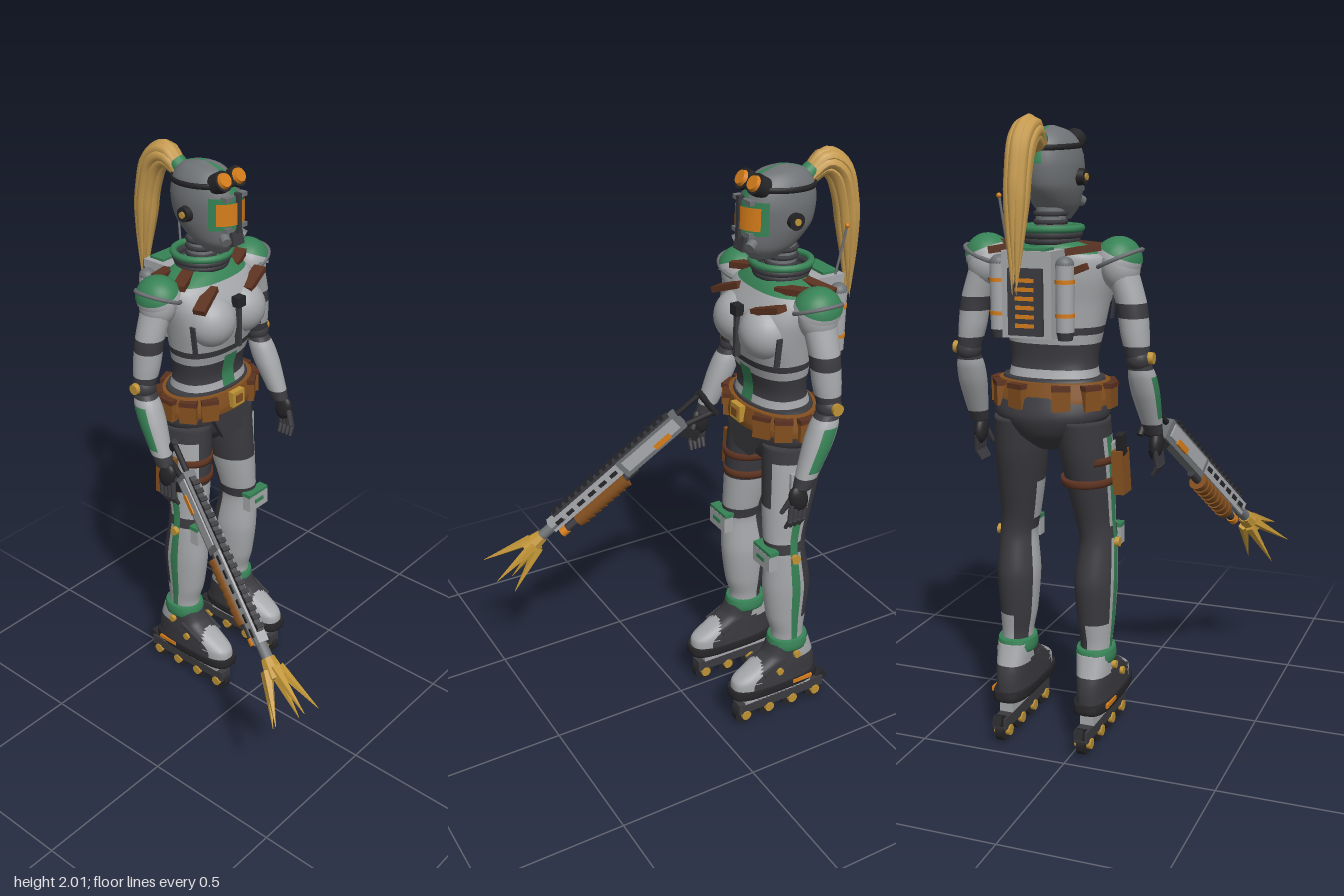
import * as THREE from 'three';

const mat = (name, color) => Object.assign(new THREE.MeshStandardMaterial({ color }), { name });
const M = {
  light: mat('light armour', 0xa6a8ab), dark: mat('dark suit', 0x3b3b40), grey: mat('grey metal', 0x6f7275),
  black: mat('black rubber', 0x252528), green: mat('green trim', 0x378256), strap: mat('strap leather', 0x5c3220),
  belt: mat('belt leather', 0x84501f), orange: mat('orange glass', 0xd67d1a), hair: mat('blonde hair', 0xc79c50),
  gold: mat('gold metal', 0xc09436),
};
const V = (x, y, z) => new THREE.Vector3(x, y, z);

function add(parent, name, geo, material, x = 0, y = 0, z = 0, rx = 0, ry = 0, rz = 0) {
  const m = new THREE.Mesh(geo, material);
  m.name = name; m.position.set(x, y, z); m.rotation.set(rx, ry, rz);
  parent.add(m);
  return m;
}
const box = (p, name, m, w, h, d, ...t) => add(p, name, new THREE.BoxGeometry(w, h, d), m, ...t);
const cyl = (p, name, m, r0, r1, h, n, ...t) => add(p, name, new THREE.CylinderGeometry(r1, r0, h, n), m, ...t);
const ball = (p, name, m, a, b, c, ...t) => {
  const o = add(p, name, new THREE.SphereGeometry(1, 24, 16), m, ...t);
  o.scale.set(a, b, c);
  return o;
};
// Tapered rod from point a to point b
function rod(p, name, m, a, b, r0, r1 = r0, n = 10) {
  const d = b.clone().sub(a);
  const o = cyl(p, name, m, r0, r1, d.length(), n);
  o.position.copy(a).addScaledVector(d, 0.5);
  o.quaternion.setFromUnitVectors(V(0, 1, 0), d.normalize());
  return o;
}
// Skin over rings [y, centreX, centreZ, radiusX, radiusZ] rising in y; pick() colours each face
function loft(parent, name, rings, pick, power = 1, seg = 32, steps = 36) {
  const c1 = new THREE.CatmullRomCurve3(rings.map(r => V(r[0], r[1], r[2])), false, 'catmullrom', 0.4);
  const c2 = new THREE.CatmullRomCurve3(rings.map(r => V(r[3], r[4], 0)), false, 'catmullrom', 0.4);
  const pos = [], mats = [], faces = new Map();
  const sq = v => Math.sign(v) * Math.abs(v) ** power;
  for (let i = 0; i <= steps; i++) {
    const c = c1.getPoint(i / steps), r = c2.getPoint(i / steps);
    for (let j = 0; j < seg; j++) {
      const a = j / seg * Math.PI * 2;
      pos.push(c.y + r.x * sq(Math.cos(a)), c.x, c.z + r.y * sq(Math.sin(a)));
    }
  }
  const put = (m, ...ids) => { if (!faces.has(m)) faces.set(m, []); faces.get(m).push(...ids); };
  const choose = typeof pick === 'function' ? pick : () => pick;
  for (let i = 0; i < steps; i++) for (let j = 0; j < seg; j++) {
    const k = (j + 1) % seg, a = i * seg + j, b = a + seg, c = i * seg + k, d = c + seg;
    const t = (j + 0.5) / seg * Math.PI * 2;
    const y = (pos[a * 3 + 1] + pos[b * 3 + 1]) / 2, z = (pos[a * 3 + 2] + pos[d * 3 + 2]) / 2;
    put(choose(y, Math.cos(t), Math.sin(t), z), a, b, c, b, d, c);
  }
  // End caps
  for (const [row, up] of [[0, false], [steps, true]]) {
    const r = rings[up ? rings.length - 1 : 0], n = pos.length / 3;
    pos.push(r[1], r[0], r[2]);
    for (let j = 0; j < seg; j++) {
      const a = row * seg + j, b = row * seg + (j + 1) % seg;
      put(choose(r[0], 0, 0, r[2]), n, up ? b : a, up ? a : b);
    }
  }
  const g = new THREE.BufferGeometry(), index = [];
  g.setAttribute('position', new THREE.Float32BufferAttribute(pos, 3));
  for (const [m, f] of faces) { g.addGroup(index.length, f.length, mats.length); mats.push(m); index.push(...f); }
  g.setIndex(index);
  g.computeVertexNormals();
  return add(parent, name, g, mats);
}

function head(b) {
  const g = new THREE.Group(); g.name = 'head'; b.add(g);
  cyl(g, 'neck', M.grey, 0.05, 0.045, 0.14, 20, 0, 1.67, -0.3);
  for (const y of [1.67, 1.695, 1.72]) add(g, 'neckRing', new THREE.TorusGeometry(0.047, 0.008, 6, 20), M.dark, 0, y, -0.3, Math.PI / 2);
  loft(g, 'helmet', [[1.7, 0, -0.235, 0.035, 0.05], [1.74, 0, -0.25, 0.066, 0.095], [1.8, 0, -0.272, 0.085, 0.124],
    [1.87, 0, -0.278, 0.091, 0.13], [1.93, 0, -0.283, 0.08, 0.112], [1.965, 0, -0.287, 0.052, 0.075], [1.982, 0, -0.288, 0.01, 0.012]],
  (y, c, s) => (y > 1.87 && Math.abs(c) < 0.1 ? M.green : M.grey));
  // Visor layers
  const shell = (name, m, r, h, y, half) => {
    const geo = new THREE.CylinderGeometry(r, r, h, 20, 1, true, -half, half * 2);
    add(g, name, geo, visorMats[m], 0, y, -0.278).scale.set(0.7, 1, 1);
  };
  const visorMats = { green: M.green, orange: M.orange };
  shell('visorFrame', 'green', 0.136, 0.105, 1.84, 0.95);
  shell('visorGlass', 'orange', 0.141, 0.072, 1.84, 0.75);
  box(g, 'visorPost', M.dark, 0.016, 0.13, 0.02, 0, 1.84, -0.142);
  for (const y of [1.79, 1.89]) box(g, 'visorRim', M.grey, 0.1, 0.014, 0.025, 0, y, -0.158);
  box(g, 'respirator', M.dark, 0.05, 0.045, 0.05, 0, 1.752, -0.165, -0.2);
  for (const s of [-1, 1]) {
    rod(g, 'filter', M.grey, V(s * 0.03, 1.765, -0.18), V(s * 0.045, 1.75, -0.15), 0.017, 0.017, 14);
    cyl(g, 'earDisc', M.black, 0.027, 0.024, 0.025, 20, s * 0.096, 1.83, -0.28, 0, 0, Math.PI / 2);
    cyl(g, 'earBolt', M.gold, 0.011, 0.011, 0.03, 12, s * 0.099, 1.83, -0.28, 0, 0, Math.PI / 2);
    rod(g, 'goggleRim', M.black, V(s * 0.033, 1.925, -0.205), V(s * 0.034, 1.945, -0.17), 0.034, 0.034, 20);
    rod(g, 'goggleLens', M.orange, V(s * 0.034, 1.942, -0.175), V(s * 0.035, 1.951, -0.16), 0.028, 0.022, 20);
  }
  const band = add(g, 'goggleStrap', new THREE.TorusGeometry(0.108, 0.006, 6, 40), M.black, 0, 1.922, -0.283, Math.PI / 2 - 0.05);
  band.scale.set(0.79, 1.1, 1.6);
  // Ponytail of overlapping locks
  for (let i = 0; i < 9; i++) {
    const a = i / 8 * Math.PI * 2, q = i < 8 ? 1 : 0, x = Math.cos(a) * 0.022 * q, w = Math.sin(a) * 0.026 * q;
    const path = new THREE.CatmullRomCurve3([V(x * 0.5, 1.93 + w * 0.5, -0.39), V(x, 1.968 + w, -0.445), V(x * 1.1, 1.935 + w * 0.6, -0.5 - w),
      V(x, 1.84, -0.535 - w), V(x * 0.9, 1.7, -0.555 - w * 0.8), V(x * 0.4, 1.5 + (i % 3) * 0.03, -0.57 - w * 0.3)]);
    const geo = new THREE.TubeGeometry(path, 28, 0.02, 8), p = geo.attributes.position;
    for (let k = 0; k < p.count; k++) {
      const t = Math.floor(k / 9) / 28, c = path.getPointAt(t), v = V(0, 0, 0).fromBufferAttribute(p, k);
      v.sub(c).multiplyScalar(t < 0.55 ? 1 : 1 - (t - 0.55) / 0.47).add(c);
      p.setXYZ(k, v.x, v.y, v.z);
    }
    geo.computeVertexNormals();
    add(g, 'ponytailLock', geo, M.hair);
  }
  rod(g, 'hairTie', M.green, V(0, 1.93, -0.375), V(0, 1.95, -0.402), 0.03, 0.03, 16);
}

function torso(b) {
  const g = new THREE.Group(); g.name = 'torso'; b.add(g);
  loft(g, 'trunk', [[1.19, 0, -0.285, 0.15, 0.11], [1.27, 0, -0.28, 0.14, 0.09], [1.37, 0, -0.27, 0.158, 0.105], [1.45, 0, -0.262, 0.172, 0.118],
    [1.53, 0, -0.27, 0.185, 0.118], [1.59, 0, -0.285, 0.178, 0.1], [1.625, 0, -0.295, 0.12, 0.085], [1.645, 0, -0.3, 0.065, 0.065]],
  (y, c, s) => (y < 1.345 && s > 0.99 ? M.green : (y > 1.25 && y < 1.325) || (y > 1.355 && y < 1.38) ? M.dark : y > 1.605 ? M.green : M.light), 0.85, 40, 50);
  for (const s of [-1, 1]) {
    ball(g, 'chestPlate', M.light, 0.087, 0.088, 0.083, s * 0.076, 1.48, -0.197);
    box(g, 'chestSeam', M.dark, 0.006, 0.1, 0.02, s * 0.165, 1.44, -0.19, 0, 0, -s * 0.12);
    // Pack strap over the shoulder
    const pts = [V(s * 0.08, 1.5, -0.41), V(s * 0.12, 1.6, -0.4), V(s * 0.135, 1.635, -0.31), V(s * 0.13, 1.61, -0.21), V(s * 0.105, 1.53, -0.148)];
    for (let i = 0; i < 4; i++) {
      const d = pts[i + 1].clone().sub(pts[i]);
      const o = box(g, 'packStrap', M.strap, 0.042, 0.02, d.length() + 0.012);
      o.position.copy(pts[i]).addScaledVector(d, 0.5); o.lookAt(pts[i + 1]);
    }
  }
  box(g, 'chestStrip', M.dark, 0.014, 0.16, 0.02, 0, 1.46, -0.142);
  box(g, 'chestClip', M.black, 0.036, 0.035, 0.03, 0, 1.54, -0.14);
  // Open collar
  const collar = (r0, r1, h, y, m, n) => add(g, n, new THREE.CylinderGeometry(r1, r0, h, 28, 1, true), m, 0, y, -0.3);
  cyl(g, 'collarBase', M.green, 0.09, 0.08, 0.04, 28, 0, 1.625, -0.3);
  for (let i = 0; i < 3; i++) add(g, 'collar', new THREE.TorusGeometry(0.08 + i * 0.007, 0.012, 8, 28), i === 2 ? M.green : M.dark, 0, 1.64 + i * 0.018, -0.3, Math.PI / 2);
  // Hips, belt and pouches
  loft(g, 'hips', [[0.99, 0, -0.3, 0.05, 0.06], [1.04, 0, -0.305, 0.13, 0.11], [1.1, 0, -0.307, 0.188, 0.13], [1.16, 0, -0.295, 0.188, 0.125], [1.22, 0, -0.285, 0.165, 0.11]], M.dark);
  loft(g, 'belt', [[1.135, 0, -0.29, 0.194, 0.133], [1.16, 0, -0.287, 0.194, 0.132], [1.21, 0, -0.285, 0.182, 0.122]], M.belt, 0.95);
  box(g, 'buckle', M.gold, 0.058, 0.055, 0.022, 0, 1.18, -0.152);
  box(g, 'buckleInset', M.belt, 0.03, 0.028, 0.008, 0, 1.18, -0.14);
  for (const d of [0.6, 1.05, 1.6, 2.2, 2.75]) for (const s of [-1, 1]) {
    const x = Math.sin(d) * 0.187 * s, z = -0.287 + Math.cos(d) * 0.127;
    box(g, 'pouch', M.belt, 0.058, 0.078, 0.035, x, 1.165, z, 0, d * s, 0);
    box(g, 'pouchFlap', M.strap, 0.06, 0.016, 0.039, x, 1.197, z, 0, d * s, 0);
  }
  const shape = new THREE.Shape([[-0.1, 1.13], [-0.045, 1.03], [0.045, 1.03], [0.1, 1.13]].map(p => new THREE.Vector2(...p)));
  add(g, 'hipPlate', new THREE.ExtrudeGeometry(shape, { depth: 0.02, bevelEnabled: false }), M.dark, 0, 0, -0.19);
}

function backpack(b) {
  const g = new THREE.Group(); g.name = 'backpack'; b.add(g);
  box(g, 'packBody', M.light, 0.16, 0.26, 0.11, 0, 1.49, -0.435);
  box(g, 'packPanel', M.dark, 0.11, 0.2, 0.02, 0, 1.47, -0.495);
  box(g, 'packLid', M.green, 0.12, 0.01, 0.06, 0, 1.623, -0.45);
  for (let i = 0; i < 6; i++) box(g, 'ventSlat', M.orange, 0.06, 0.012, 0.012, 0, 1.4 + i * 0.027, -0.502);
  for (const s of [-1, 1]) {
    cyl(g, 'tank', M.light, 0.028, 0.028, 0.2, 18, s * 0.107, 1.48, -0.45);
    ball(g, 'tankTop', M.grey, 0.028, 0.025, 0.028, s * 0.107, 1.58, -0.45);
    cyl(g, 'tankFoot', M.dark, 0.022, 0.028, 0.03, 18, s * 0.107, 1.37, -0.45);
    for (const y of [1.43, 1.53]) cyl(g, 'tankBand', M.orange, 0.03, 0.03, 0.012, 18, s * 0.107, y, -0.45);
  }
  rod(g, 'antenna', M.grey, V(0.07, 1.61, -0.46), V(0.085, 1.78, -0.485), 0.004);
  ball(g, 'antennaTip', M.orange, 0.008, 0.008, 0.008, 0.085, 1.78, -0.485);
}

function arm(b, s) {
  const g = new THREE.Group(); g.name = s > 0 ? 'leftArm' : 'rightArm'; b.add(g);
  ball(g, 'shoulder', M.light, 0.06, 0.075, 0.062, s * 0.225, 1.56, -0.29);
  // Shoulder guard shell
  for (const [m, r, h] of [[M.light, 1, 1.42], [M.green, 1.05, 1.2]]) {
    const o = add(g, 'shoulderGuard', new THREE.SphereGeometry(1, 24, 10, 0, Math.PI * 2, 0, h), m, s * 0.215, 1.575, -0.29, 0, 0, -s * 0.4);
    o.scale.set(0.072 * r, 0.078 * r, 0.078 * r);
  }
  add(g, 'guardRim', new THREE.TorusGeometry(0.074, 0.007, 6, 28), M.grey, s * 0.222, 1.588, -0.29, Math.PI / 2, s * 0.4);
  loft(g, 'upperArm', [[1.28, s * 0.288, -0.305, 0.035, 0.037], [1.36, s * 0.275, -0.3, 0.045, 0.047], [1.45, s * 0.262, -0.295, 0.048, 0.05], [1.55, s * 0.23, -0.29, 0.05, 0.055]],
    y => (y < 1.325 || (y > 1.41 && y < 1.455) ? M.dark : M.light), 1, 24);
  cyl(g, 'elbowBolt', M.gold, 0.02, 0.018, 0.02, 14, s * 0.328, 1.29, -0.305, 0, 0, Math.PI / 2);
  ball(g, 'elbow', M.dark, 0.04, 0.04, 0.042, s * 0.289, 1.285, -0.303);
  loft(g, 'forearm', [[1.03, s * 0.306, -0.205, 0.027, 0.03], [1.08, s * 0.303, -0.225, 0.034, 0.037], [1.17, s * 0.297, -0.262, 0.044, 0.046], [1.23, s * 0.293, -0.285, 0.043, 0.045], [1.27, s * 0.29, -0.3, 0.034, 0.036]],
    (y, c) => (y < 1.07 || y > 1.255 ? M.dark : c * s > 0.9 && y > 1.09 && y < 1.23 ? M.green : M.light), 0.9, 24);
  // Hand and fingers
  ball(g, 'palm', M.black, 0.022, 0.048, 0.034, s * 0.309, 0.995, -0.19, 0.3);
  for (let i = 0; i < 4; i++) {
    const z = -0.215 + i * 0.017, k = V(s * 0.318, 0.925, z + 0.008);
    rod(g, 'finger', M.dark, V(s * 0.312, 0.98, z), k, 0.01, 0.009, 8);
    rod(g, 'fingerTip', M.dark, k, V(s * 0.3, 0.893, z + 0.012), 0.009, 0.006, 8);
  }
  rod(g, 'thumb', M.dark, V(s * 0.305, 0.995, -0.165), V(s * 0.29, 0.945, -0.14), 0.011, 0.007, 8);
}

function leg(b, s) {
  const g = new THREE.Group(); g.name = s > 0 ? 'leftLeg' : 'rightLeg'; b.add(g);
  loft(g, 'legSuit', [[0.28, s * 0.14, -0.292, 0.05, 0.06], [0.35, s * 0.14, -0.29, 0.052, 0.06], [0.42, s * 0.137, -0.284, 0.06, 0.074], [0.55, s * 0.136, -0.28, 0.068, 0.088],
    [0.68, s * 0.14, -0.267, 0.06, 0.074], [0.75, s * 0.131, -0.267, 0.063, 0.077], [0.85, s * 0.122, -0.279, 0.073, 0.09], [0.97, s * 0.113, -0.295, 0.082, 0.104], [1.09, s * 0.105, -0.305, 0.082, 0.112]],
  (y, c, z) => {
    if (y > 1.03) return M.dark;
    if (c * s > 0.98) return M.green;
    if (y > 0.7 && y < 0.735) return M.dark;
    if (z < -0.3) return y < 0.42 && c * s > -0.2 ? M.light : M.dark;
    return y > 0.87 && c * s < 0.45 ? M.dark : M.light;
  }, 1, 32, 70);
  // Knee guard
  box(g, 'kneePad', M.light, 0.1, 0.06, 0.035, s * 0.143, 0.68, -0.186);
  box(g, 'kneeTrim', M.green, 0.102, 0.014, 0.037, s * 0.143, 0.715, -0.188);
  box(g, 'kneeInset', M.green, 0.045, 0.014, 0.006, s * 0.143, 0.685, -0.167);
  cyl(g, 'kneeBolt', M.gold, 0.017, 0.015, 0.02, 12, s * 0.204, 0.68, -0.267, 0, 0, Math.PI / 2);
  box(g, 'thighPlate', M.light, 0.012, 0.13, 0.05, s * 0.192, 0.945, -0.265);
  // Boot
  loft(g, 'boot', [[0.145, s * 0.143, -0.235, 0.058, 0.168], [0.19, s * 0.143, -0.238, 0.058, 0.165], [0.225, s * 0.143, -0.262, 0.058, 0.135], [0.265, s * 0.142, -0.29, 0.057, 0.093], [0.315, s * 0.14, -0.295, 0.057, 0.072]],
    (y, c, q, z) => (z > -0.15 + (0.2 - y) * 0.5 || (y > 0.245 && z < -0.3) ? M.light : M.dark), 0.75);
  loft(g, 'bootCuff', [[0.285, s * 0.14, -0.293, 0.062, 0.072], [0.305, s * 0.14, -0.293, 0.064, 0.075], [0.33, s * 0.14, -0.293, 0.06, 0.07]], M.green, 0.9, 28, 6);
  loft(g, 'sole', [[0.128, s * 0.143, -0.235, 0.06, 0.176], [0.14, s * 0.143, -0.235, 0.062, 0.178], [0.16, s * 0.143, -0.235, 0.061, 0.174]], M.black, 0.6, 32, 6);
  box(g, 'buckleStrap', M.dark, 0.12, 0.02, 0.1, s * 0.143, 0.235, -0.21, 0.45);
  for (const [z, y] of [[-0.225, 0.22], [-0.295, 0.27]]) cyl(g, 'bootBolt', M.gold, 0.013, 0.013, 0.02, 12, s * 0.202, y, z, 0, 0, Math.PI / 2);
  box(g, 'bootLabel', M.orange, 0.008, 0.014, 0.08, s * 0.203, 0.15, -0.325);
  // Skate frame, wheels and brake
  box(g, 'skateMount', M.light, 0.046, 0.045, 0.28, s * 0.143, 0.107, -0.25);
  box(g, 'skateFrame', M.dark, 0.046, 0.04, 0.36, s * 0.143, 0.068, -0.265);
  for (const z of [-0.115, -0.213, -0.313, -0.413]) {
    cyl(g, 'wheel', M.black, 0.038, 0.038, 0.028, 24, s * 0.143, 0.038, z, 0, 0, Math.PI / 2);
    cyl(g, 'wheelHub', M.gold, 0.018, 0.018, 0.056, 14, s * 0.143, 0.038, z, 0, 0, Math.PI / 2);
  }
  box(g, 'brake', M.black, 0.03, 0.035, 0.04, s * 0.143, 0.08, -0.445, 0.4);
}

function holster(b) {
  const g = new THREE.Group(); g.name = 'holster'; b.add(g);
  box(g, 'holsterBody', M.belt, 0.036, 0.14, 0.07, -0.222, 0.92, -0.28, 0, 0, -0.06);
  box(g, 'pistolGrip', M.black, 0.024, 0.07, 0.035, -0.226, 1.01, -0.29, -0.2);
  for (const y of [0.89, 0.96]) loft(g, 'thighStrap', [[y - 0.012, -0.116, -0.288, 0.083, 0.104], [y + 0.012, -0.115, -0.29, 0.085, 0.105]], M.strap, 1, 28, 2);
}

function rifle(root) {
  const g = new THREE.Group(); g.name = 'rifle'; root.add(g);
  g.position.set(-0.2, 1.03, -0.11); g.lookAt(-0.36, 0.58, 0.4);
  box(g, 'receiver', M.grey, 0.042, 0.07, 0.28, 0, 0, 0.14);
  for (const s of [-1, 1]) {
    box(g, 'sidePlate', M.light, 0.008, 0.045, 0.24, s * 0.022, 0.005, 0.14);
    box(g, 'ammoWindow', M.orange, 0.008, 0.02, 0.07, s * 0.026, -0.012, 0.1);
    for (let i = 0; i < 6; i++) box(g, 'barrelSlot', M.black, 0.006, 0.014, 0.03, s * 0.019, 0.012, 0.31 + i * 0.052);
  }
  box(g, 'barrelShroud', M.light, 0.036, 0.045, 0.34, 0, 0.01, 0.44);
  rod(g, 'barrel', M.grey, V(0, 0.005, 0.55), V(0, 0.005, 0.7), 0.019, 0.019, 14);
  box(g, 'topRail', M.dark, 0.02, 0.014, 0.55, 0, 0.04, 0.3);
  for (let i = 0; i < 18; i++) box(g, 'railTooth', M.black, 0.026, 0.01, 0.015, 0, 0.05, 0.05 + i * 0.03);
  rod(g, 'pumpTube', M.dark, V(0, -0.04, 0.24), V(0, -0.04, 0.58), 0.014);
  for (let i = 0; i < 8; i++) cyl(g, 'pumpRib', M.belt, 0.032, 0.027, 0.03, 14, 0, -0.042, 0.31 + i * 0.029, Math.PI / 2);
  cyl(g, 'pumpCap', M.orange, 0.018, 0.018, 0.025, 14, 0, -0.04, 0.59, Math.PI / 2);
  // Grip and skeleton stock
  box(g, 'grip', M.black, 0.026, 0.09, 0.035, 0, -0.06, 0.02, 0.4);
  rod(g, 'stockBar', M.black, V(0, 0.02, 0.02), V(0, 0.02, -0.11), 0.01);
  rod(g, 'stockBar', M.black, V(0, -0.03, 0.02), V(0, -0.07, -0.1), 0.01);
  rod(g, 'stockButt', M.black, V(0, 0.03, -0.11), V(0, -0.085, -0.1), 0.012);
  // Claw muzzle
  const flat = (o) => { o.geometry = o.geometry.toNonIndexed(); o.geometry.computeVertexNormals(); };
  flat(rod(g, 'clawBase', M.gold, V(0, 0.005, 0.66), V(0, 0.005, 0.73), 0.024, 0.038, 8));
  for (let i = 0; i < 5; i++) {
    const a = i / 5 * Math.PI * 2 + Math.PI / 2, x = Math.cos(a), y = Math.sin(a);
    flat(rod(g, 'clawProng', M.gold, V(x * 0.022, y * 0.022, 0.7), V(x * 0.085, y * 0.085, 0.87), 0.02, 0.001, 5));
  }
}

export function createModel() {
  const root = new THREE.Group(); root.name = 'skatingTrooper';
  const body = new THREE.Group(); body.name = 'body'; body.position.x = 0.108; root.add(body);
  head(body); torso(body); backpack(body); holster(body);
  for (const s of [-1, 1]) { arm(body, s); leg(body, s); }
  rifle(root);
  return root;
}
